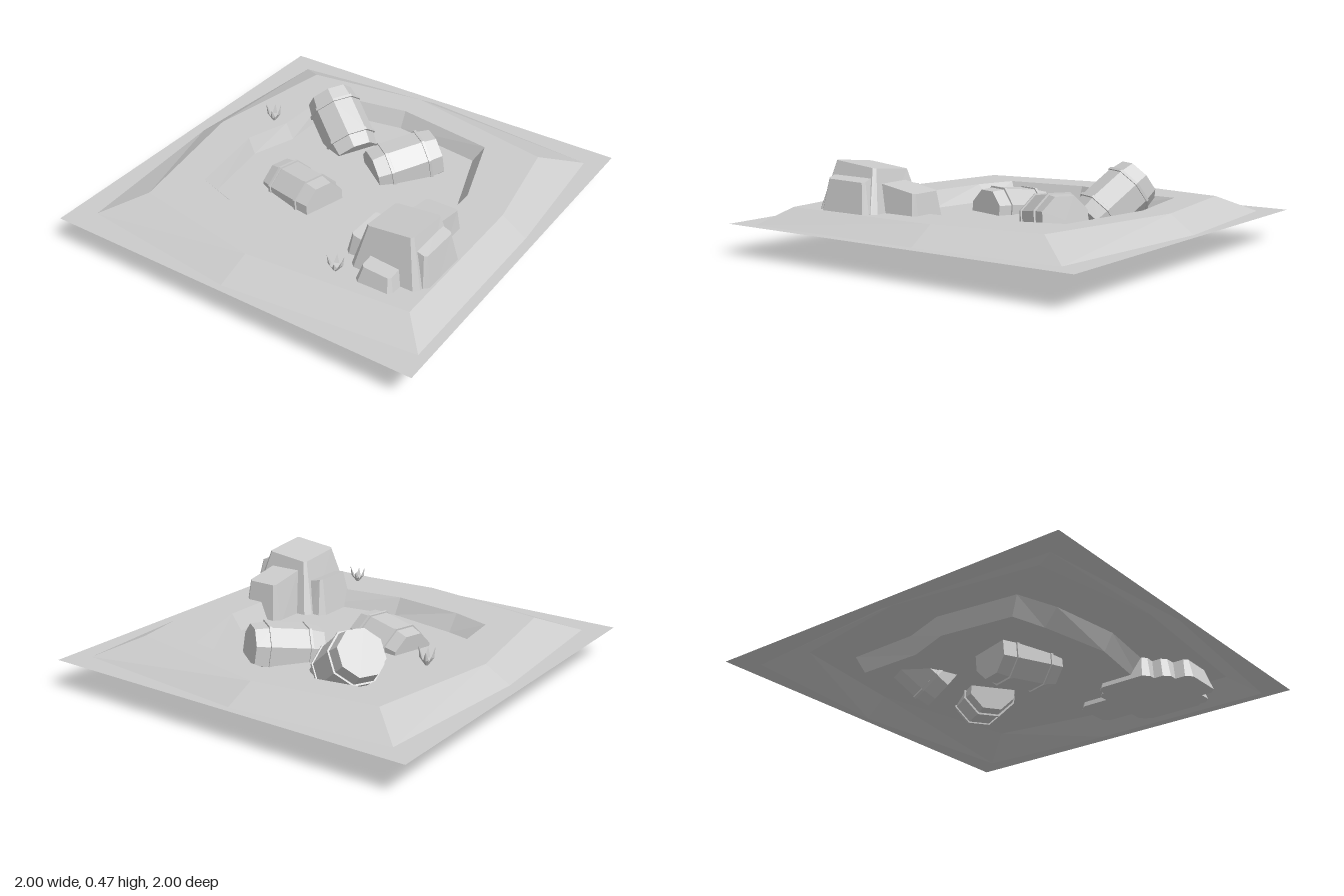
import * as THREE from 'three';

const LOW = 0.15, HIGH = 0.235;
const material = new THREE.MeshStandardMaterial({ color: 0xcccccc, flatShading: true, side: THREE.DoubleSide });

function part(name, geometry) {
  const g = geometry.index ? geometry.toNonIndexed() : geometry;
  g.computeVertexNormals();
  const mesh = new THREE.Mesh(g, material);
  mesh.name = name;
  return mesh;
}

// Surface between two loops of [x, y, z] points, with an optional lid on the upper one
function loft(lower, upper, lid = false) {
  const n = lower.length, index = [];
  for (let i = 0; i < n; i++) {
    const j = (i + 1) % n;
    index.push(i, n + i, j, j, n + i, n + j);
    if (lid && i > 0 && i < n - 1) {
      index.push(n, n + j, n + i); // top
      index.push(0, i, j);         // underside
    }
  }
  const g = new THREE.BufferGeometry();
  g.setAttribute('position', new THREE.Float32BufferAttribute([...lower, ...upper].flat(), 3));
  g.setIndex(index);
  return g;
}

// Level sheet with an outline and an optional hole, both given as [x, z]
function sheet(outline, y, hole) {
  const pts = loop => loop.map(([x, z]) => new THREE.Vector2(x, -z));
  const shape = new THREE.Shape(pts(outline));
  if (hole) shape.holes.push(new THREE.Path(pts(hole)));
  return new THREE.ShapeGeometry(shape).rotateX(-Math.PI / 2).translate(0, y, 0);
}
const atHeight = (loop, y) => loop.map(([x, z]) => [x, y, z]);

function ground() {
  const group = new THREE.Group();
  group.name = 'ground';
  const border = [[-1, -1], [1, -1], [1, 1], [-1, 1]];
  const bankFoot = [[-0.87, -0.89], [-0.05, -0.965], [0.9, -0.875], [0.95, -0.12],
    [0.95, 0.865], [-0.03, 0.965], [-0.88, 0.87], [-0.94, -0.02]];
  const bankTop = [[-0.7, -0.74], [-0.07, -0.83], [0.73, -0.67], [0.82, -0.12],
    [0.825, 0.735], [-0.01, 0.805], [-0.7, 0.68], [-0.82, -0.04]];
  const pitRim = [[-0.52, -0.6], [-0.07, -0.68], [0.46, -0.6], [0.6, -0.17], [0.6, 0.15], [0.52, 0.49],
    [0.04, 0.56], [-0.34, 0.51], [-0.55, 0.44], [-0.605, 0.01], [-0.53, -0.22]];
  const pitFoot = [[-0.49, -0.56], [-0.07, -0.635], [0.41, -0.57], [0.55, -0.16], [0.55, 0.14], [0.48, 0.44],
    [0.04, 0.51], [-0.34, 0.44], [-0.52, 0.39], [-0.57, 0.01], [-0.49, -0.22]];
  group.add(
    part('groundBorder', sheet(border, LOW, bankFoot)),
    part('outerBank', loft(atHeight(bankFoot, LOW), atHeight(bankTop, HIGH))),
    part('bankTop', sheet(bankTop, HIGH, pitRim)),
    part('pitWall', loft(atHeight(pitRim, HIGH), atHeight(pitFoot, LOW))),
    part('pitFloor', sheet(pitFoot, LOW)));
  return group;
}

// Eight-sided barrel with two hoops, its axis along dir
function barrel(center, dir) {
  const group = new THREE.Group();
  group.name = 'barrel';
  const lathe = profile => new THREE.LatheGeometry(
    profile.map(([r, y]) => new THREE.Vector2(r, y)), 8, Math.PI / 8);
  group.add(part('barrelBody', lathe([[0, -0.175], [0.122, -0.175], [0.136, -0.09],
    [0.136, 0.09], [0.122, 0.175], [0, 0.175]])));
  for (const y of [-0.1, 0.1]) {
    group.add(part('barrelHoop', lathe([[0.13, y - 0.007], [0.143, y - 0.007],
      [0.143, y + 0.007], [0.13, y + 0.007]])));
  }
  const axis = new THREE.Vector3(...dir).normalize();
  const side = new THREE.Vector3(axis.z, 0, -axis.x).normalize();
  const third = side.clone().cross(axis);
  group.quaternion.setFromRotationMatrix(new THREE.Matrix4().makeBasis(side, axis, third));
  group.position.set(...center);
  return group;
}

// Rectangle [x0, x1, z0, z1] with cut corners; height runs from yBack to yFront, rising by lean across x
function cutRect([x0, x1, z0, z1], cut, yBack, yFront = yBack, lean = 0) {
  const c = cut;
  return [[x0 + c, z0], [x1 - c, z0], [x1, z0 + c], [x1, z1 - c],
    [x1 - c, z1], [x0 + c, z1], [x0, z1 - c], [x0, z0 + c]].map(([x, z]) =>
    [x, yBack + (yFront - yBack) * (z - z0) / (z1 - z0) + lean * ((x - x0) / (x1 - x0) - 0.5), z]);
}

function rocks() {
  const group = new THREE.Group();
  group.name = 'rocks';
  // base, top, back height, front height, lean
  const stones = [
    ['mainRock', [0.4, 0.82, 0.22, 0.64], [0.48, 0.72, 0.3, 0.55], 0.43, 0.455, 0.025],
    ['backRock', [0.48, 0.72, 0.05, 0.33], [0.52, 0.69, 0.085, 0.3], 0.335, 0.372, 0],
    ['leftSideRock', [0.7, 0.835, 0.25, 0.59], [0.69, 0.785, 0.31, 0.54], 0.395, 0.4, -0.03],
    ['rightSideRock', [0.335, 0.47, 0.26, 0.56], [0.38, 0.47, 0.31, 0.52], 0.325, 0.325, -0.02],
    ['frontRock', [0.47, 0.73, 0.56, 0.725], [0.53, 0.68, 0.57, 0.665], 0.315, 0.305, -0.01]];
  for (const [name, base, top, yBack, yFront, lean] of stones) {
    group.add(part(name, loft(cutRect(base, 0.03, 0.125), cutRect(top, 0.012, yBack, yFront, lean), true)));
  }
  return group;
}

// Tuft of four pointed blades leaning outward
function tuft(x, z, height) {
  const group = new THREE.Group();
  group.name = 'grassTuft';
  for (let i = 0; i < 4; i++) {
    const a = i * Math.PI / 2 + 0.4, h = height * (i % 2 ? 0.8 : 1);
    const ring = (r, y, lean) => [0, 1, 2].map(k => {
      const t = k * Math.PI * 2 / 3;
      return [r * Math.cos(t) * 0.6 + lean, y, r * Math.sin(t)];
    });
    const mid = ring(0.015, h * 0.4, 0.026);
    const lower = part('grassBlade', loft(ring(0.006, 0, 0.004), mid));
    const upper = part('grassBladeTip', loft(mid, ring(0.0005, h, 0.04)));
    lower.rotation.y = upper.rotation.y = a;
    group.add(lower, upper);
  }
  group.position.set(x, HIGH, z);
  return group;
}

export function createModel() {
  const model = new THREE.Group();
  model.name = 'barrelPit';
  model.add(
    ground(),
    barrel([-0.285, 0.225, -0.39], [-0.72, 0.588, -0.364]),
    barrel([0.145, 0.18, -0.315], [0.58, 0.15, -0.79]),
    barrel([-0.16, 0.137, 0.15], [0.955, 0.09, 0.27]),
    rocks(),
    tuft(-0.605, -0.21, 0.095),
    tuft(0.4, 0.675, 0.08));
  return model;
}
